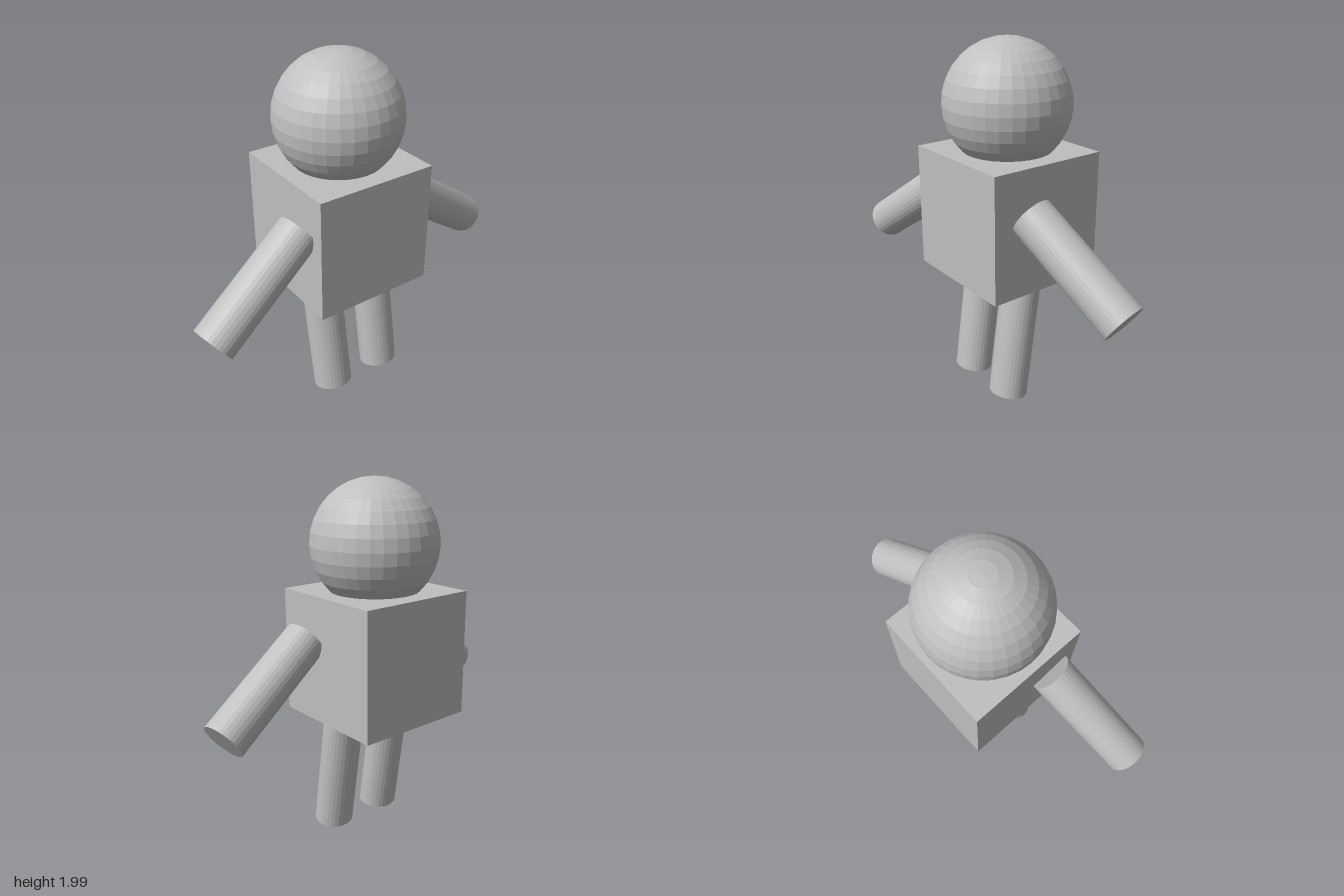
import * as THREE from 'three';

export function createModel() {
  const group = new THREE.Group();
  const grey = new THREE.MeshStandardMaterial({ color: 0xbfbfbf, flatShading: true });
  grey.name = 'plain grey';

  const add = (name, geometry) => {
    const mesh = new THREE.Mesh(geometry, grey);
    mesh.name = name;
    group.add(mesh);
    return mesh;
  };

  // Straight limb between the centres of its two end caps
  const limb = (name, top, bottom, rx, rz) => {
    const a = new THREE.Vector3(...top);
    const b = new THREE.Vector3(...bottom);
    const axis = a.clone().sub(b);
    const mesh = add(name, new THREE.CylinderGeometry(1, 1, axis.length(), 32));
    mesh.scale.set(rx, 1, rz);
    mesh.quaternion.setFromUnitVectors(new THREE.Vector3(0, 1, 0), axis.normalize());
    mesh.position.copy(a).add(b).multiplyScalar(0.5);
  };

  // Cube body and round head
  add('body', new THREE.BoxGeometry(0.695, 0.695, 0.695)).position.set(-0.014, 1.049, 0.007);
  add('head', new THREE.SphereGeometry(0.347, 32, 16)).position.set(-0.014, 1.643, 0.007);

  // Arms spread to the front and back
  limb('frontArm', [0.145, 1.155, 0.3635], [0.245, 0.765, 0.932], 0.117, 0.117);
  limb('backArm', [0.122, 1.155, -0.3635], [0.025, 0.765, -0.932], 0.117, 0.117);

  // Leaning legs
  limb('frontLeg', [0.031, 0.704, 0.164], [0.132, 0.02, 0.155], 0.104, 0.114);
  limb('backLeg', [0.031, 0.704, -0.178], [0.132, 0.02, -0.188], 0.104, 0.114);

  return group;
}
